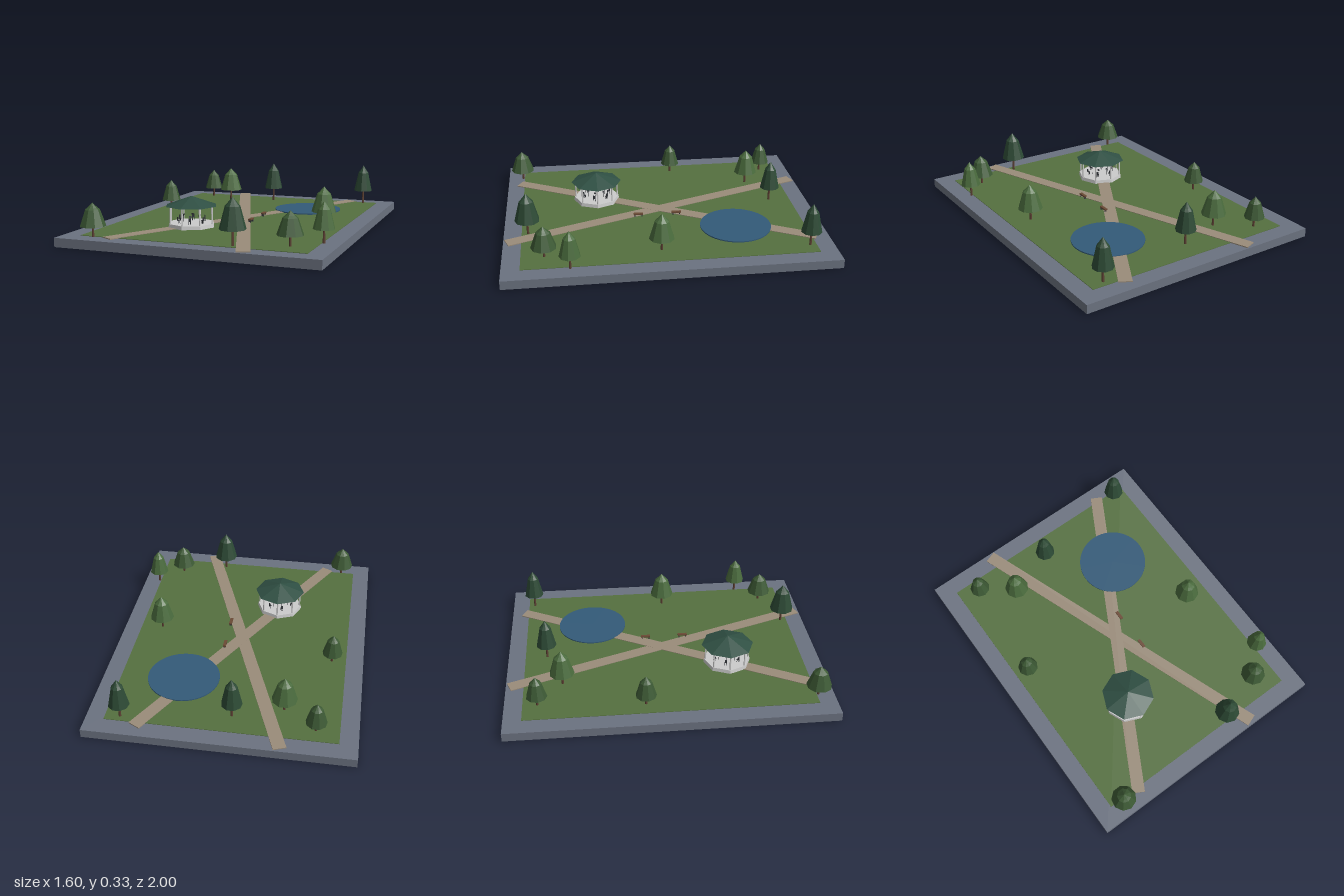
import * as THREE from 'three';

const mat = (color, flatShading = false) => new THREE.MeshStandardMaterial({ color, flatShading });
const slate = mat(0x6b7280), grass = mat(0x55703f), gravel = mat(0x9a8c7a), water = mat(0x335a78);
const stone = mat(0xcccccc, true), roofGreen = mat(0x2f4f43, true), bark = mat(0x5c4033, true);
const wood = mat(0x6b4a35), dark = mat(0x33363b);
const leaves = [mat(0x2d4a35, true), mat(0x4a6b3d, true), mat(0x3d5a35, true)];

function add(parent, name, geometry, material, x = 0, y = 0, z = 0) {
  const mesh = new THREE.Mesh(geometry, material);
  mesh.name = name;
  mesh.position.set(x, y, z);
  parent.add(mesh);
  return mesh;
}

function group(parent, name, x, y, z) {
  const g = new THREE.Group();
  g.name = name;
  g.position.set(x, y, z);
  parent.add(g);
  return g;
}

const box = (w, h, d) => new THREE.BoxGeometry(w, h, d);
const GROUND = 0.058;

// Straight path through the middle, ending at (x, z) and (-x, -z)
function addPath(parent, x, z, top) {
  const path = add(parent, 'path', box(0.08, 0.01, 2 * Math.hypot(x, z)), gravel, 0, top - 0.005, 0);
  path.rotation.y = Math.atan2(x, z);
}

// Tree: trunk, sloping skirt of leaves and a small pointed cap
function addTree(parent, x, z, radius, kind) {
  const [bottom, top] = [[0.15, 0.332], [0.137, 0.295], [0.12, 0.257]][kind];
  const h = top - bottom;
  const tree = group(parent, 'tree', x, 0, z);
  add(tree, 'trunk', new THREE.CylinderGeometry(0.006, 0.008, bottom - 0.04, 7), bark, 0, (bottom + 0.06) / 2, 0);
  const profile = [[0, 0], [1, 0], [0.56, 0.71], [0.37, 0.8], [0, 1]]
    .map(([r, y]) => new THREE.Vector2(r * radius, y * h));
  add(tree, 'foliage', new THREE.LatheGeometry(profile, 9), leaves[kind], 0, bottom, 0);
}

function addBandstand(parent) {
  const stand = group(parent, 'bandstand', -0.2, 0, 0.4);
  add(stand, 'platform', new THREE.CylinderGeometry(0.147, 0.152, 0.03, 8), stone, 0, 0.066, 0);
  add(stand, 'roof', new THREE.ConeGeometry(0.165, 0.06, 8), roofGreen, 0, 0.217, 0);
  for (let i = 0; i < 8; i++) {
    const a = (i * Math.PI) / 4;
    add(stand, 'post', new THREE.CylinderGeometry(0.005, 0.005, 0.112, 8), stone,
      0.138 * Math.sin(a), 0.134, 0.138 * Math.cos(a));
  }
  // Chairs and music stands in a ring on the platform
  for (let i = 0; i < 6; i++) {
    const a = (i * Math.PI) / 3 + 0.3;
    const seat = group(stand, 'playerPlace', 0.085 * Math.sin(a), 0.08, 0.085 * Math.cos(a));
    seat.rotation.y = a;
    add(seat, 'chairSeat', box(0.014, 0.003, 0.014), dark, 0, 0.02, 0);
    add(seat, 'chairBack', box(0.014, 0.02, 0.003), dark, 0, 0.031, 0.006);
    for (const sx of [-1, 1]) for (const sz of [-1, 1])
      add(seat, 'chairLeg', box(0.002, 0.02, 0.002), dark, sx * 0.006, 0.01, sz * 0.006);
    add(seat, 'musicStandPole', new THREE.CylinderGeometry(0.0015, 0.0015, 0.045, 6), dark, 0, 0.0225, -0.026);
    const desk = add(seat, 'musicStandDesk', box(0.013, 0.011, 0.002), dark, 0, 0.045, -0.026);
    desk.rotation.x = -0.4;
  }
}

function addBench(parent, x, z) {
  const bench = group(parent, 'bench', x, 0, z);
  add(bench, 'benchSeat', box(0.019, 0.009, 0.06), wood, 0, 0.077, 0);
  for (const s of [-1, 1]) add(bench, 'benchLeg', box(0.014, 0.018, 0.005), dark, 0, 0.065, s * 0.022);
}

export function createModel() {
  const park = new THREE.Group();
  park.name = 'park';

  // Ground layers
  add(park, 'basePavement', box(1.6, 0.055, 2), slate, 0, 0.0275, 0);
  add(park, 'lawn', box(1.38, 0.02, 1.78), grass, 0, GROUND - 0.01, 0);
  addPath(park, 0.36, 0.98, 0.061);
  addPath(park, -0.5, 0.92, 0.0615);
  add(park, 'pond', new THREE.CylinderGeometry(0.224, 0.224, 0.015, 48), water, 0.3, 0.0575, -0.45);

  addBandstand(park);
  addBench(park, 0.1, -0.1);
  addBench(park, 0.1, 0.147);

  // Trees: x, z, foliage radius, kind (0 tall, 1 medium, 2 short)
  const trees = [
    [0.25, 0.85, 0.078, 0], [0.6, -0.85, 0.064, 0], [-0.05, -0.75, 0.064, 0],
    [-0.35, -0.65, 0.078, 1], [0.55, 0.05, 0.078, 1], [0.7, 0.6, 0.064, 1],
    [0.55, 0.75, 0.078, 2], [-0.6, 0.9, 0.078, 2], [-0.55, -0.8, 0.064, 2], [-0.6, -0.15, 0.064, 2],
  ];
  for (const t of trees) addTree(park, ...t);
  return park;
}
